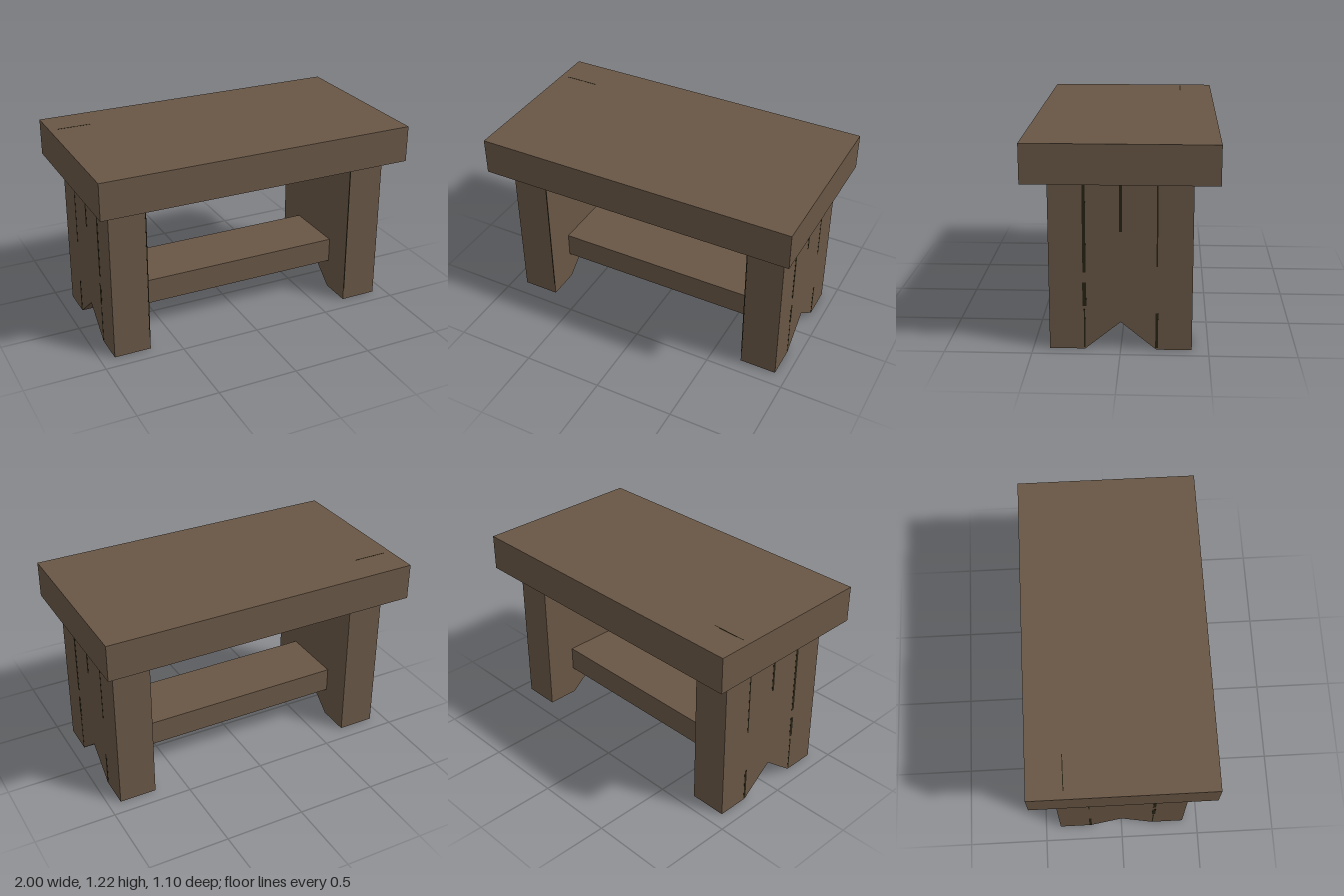
import * as THREE from 'three';

const wood = new THREE.MeshStandardMaterial({ color: 0x685645, side: THREE.DoubleSide });
wood.name = 'brown wood';
const seam = new THREE.MeshStandardMaterial({ color: 0x262213 });
seam.name = 'dark seam';

const LEG_THICKNESS = 0.232;
const LEG_HEIGHT = 0.987;
const LEG_HALF_DEPTH = 0.405;

function box(name, material, [w, h, d], [x, y, z]) {
  const mesh = new THREE.Mesh(new THREE.BoxGeometry(w, h, d), material);
  mesh.name = name;
  mesh.position.set(x, y, z);
  return mesh;
}

// Keep only the triangles that do not lie flat on the ground
function openBottom(geometry) {
  const p = geometry.attributes.position;
  const kept = [];
  for (let i = 0; i < p.count; i += 3) {
    if ([0, 1, 2].some(k => p.getY(i + k) > 1e-4)) kept.push(i, i + 1, i + 2);
  }
  geometry.clearGroups();
  geometry.setIndex(kept);
  return geometry;
}

// Slab leg: profile across the depth, with a V notch between two hollow feet
function legGeometry() {
  const shape = new THREE.Shape([
    [-LEG_HALF_DEPTH, 0], [-0.203, 0], [0, 0.166], [0.203, 0],
    [LEG_HALF_DEPTH, 0], [LEG_HALF_DEPTH, LEG_HEIGHT], [-LEG_HALF_DEPTH, LEG_HEIGHT],
  ].map(([z, y]) => new THREE.Vector2(z, y)));
  const g = new THREE.ExtrudeGeometry(shape, { depth: LEG_THICKNESS, bevelEnabled: false });
  g.translate(0, 0, -LEG_THICKNESS / 2).rotateY(Math.PI / 2);
  return openBottom(g);
}

// Worn seams between the boards of a leg: z, bottom, top, width
const legSeams = [
  [0.205, 0.46, 0.98, 0.018],
  [0.205, 0.26, 0.4, 0.022],
  [0.205, 0.01, 0.24, 0.008],
  [0, 0.7, 0.98, 0.016],
  [-0.205, 0.5, 0.98, 0.008],
  [-0.205, 0.01, 0.22, 0.016],
];

export function createModel() {
  const bench = new THREE.Group();
  bench.name = 'bench';

  bench.add(box('seat', wood, [2, 0.227, 1.095], [0, 1.1005, 0]));
  bench.add(box('stretcher', wood, [1.37, 0.158, 0.41], [0.006, 0.273, 0]));

  // Legs, each with seams on its outer face and along its inner front edge
  const geometry = legGeometry();
  for (const [name, x, side] of [['rightLeg', -0.794, -1], ['leftLeg', 0.806, 1]]) {
    const leg = new THREE.Group();
    leg.name = name;
    leg.position.x = x;
    const slab = new THREE.Mesh(geometry, wood);
    slab.name = 'legSlab';
    leg.add(slab);
    for (const [z, bottom, top, width] of legSeams) {
      leg.add(box('legSeam', seam, [0.002, top - bottom, width],
        [side * LEG_THICKNESS / 2, (bottom + top) / 2, z]));
    }
    leg.add(box('edgeSeam', seam, [0.006, 0.9, 0.002],
      [-side * (LEG_THICKNESS / 2 - 0.003), 0.53, LEG_HALF_DEPTH]));
    bench.add(leg);
  }

  // Fine seam on the seat top
  bench.add(box('seatSeam', seam, [0.21, 0.002, 0.005], [-0.845, 1.214, -0.335]));
  return bench;
}
